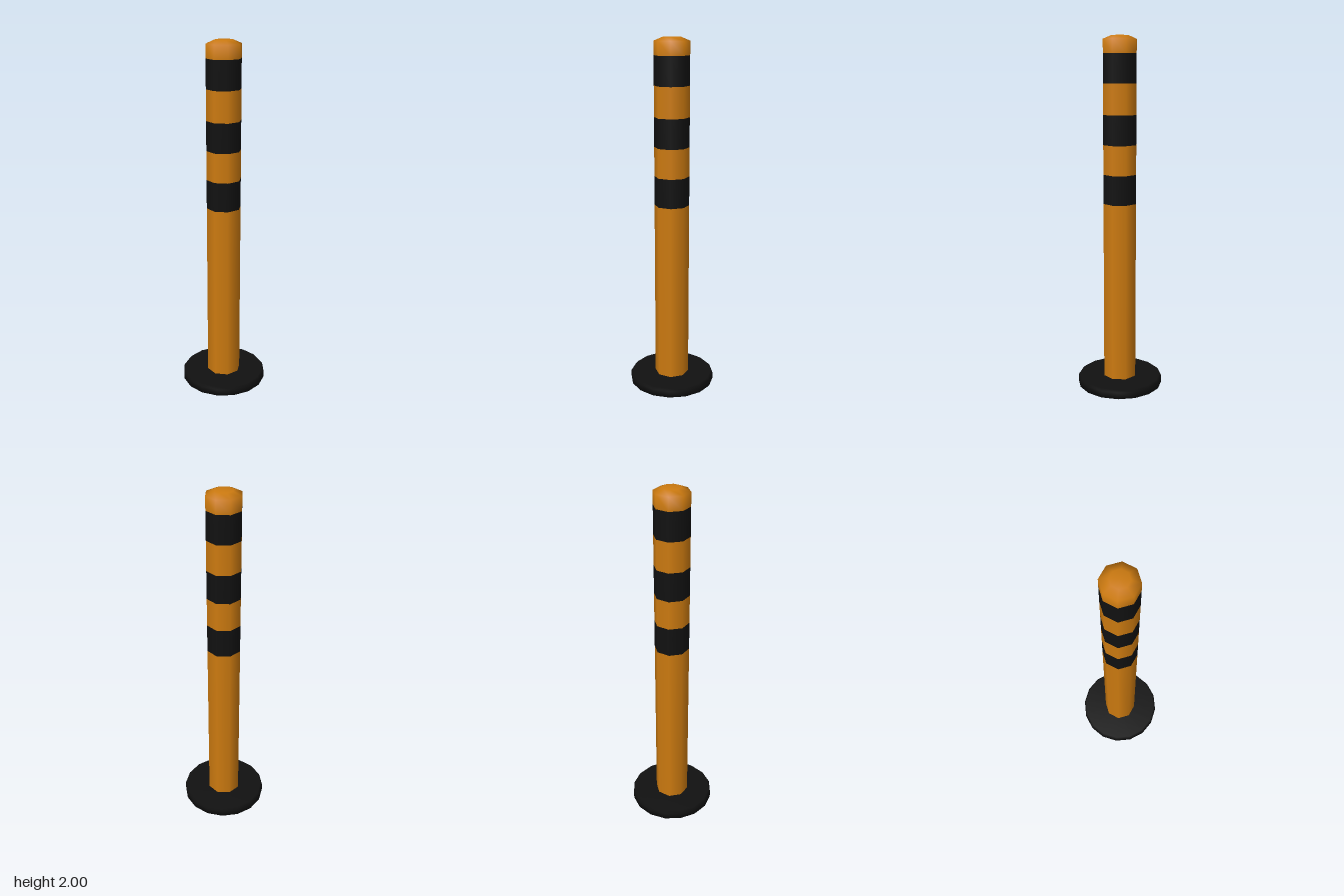
import * as THREE from 'three';

const orange = new THREE.MeshStandardMaterial({ color: 0xcc7a10 });
orange.name = 'orange';
const black = new THREE.MeshStandardMaterial({ color: 0x111111 });
black.name = 'black';

const POST_RADIUS = 0.098;

// Turns a [radius, height] profile, listed from bottom to top, around the y axis
function turned(name, profile, sides, material) {
  const points = profile.map(([r, y]) => new THREE.Vector2(r, y));
  const mesh = new THREE.Mesh(new THREE.LatheGeometry(points, sides), material);
  mesh.name = name;
  return mesh;
}

export function createModel() {
  const group = new THREE.Group();
  group.name = 'bollard';

  // Round foot plate with a small bevel on its upper rim
  group.add(turned('base', [
    [0, 0], [0.245, 0], [0.245, 0.038], [0.234, 0.05], [0, 0.05],
  ], 16, black));

  // Eight-sided post, alternating plain sections and dark bands
  const heights = [0.045, 1.08, 1.245, 1.41, 1.575, 1.745, 1.905];
  for (let i = 0; i < heights.length - 1; i++) {
    const isBand = i % 2 === 1;
    group.add(turned(
      isBand ? `band${(i + 1) / 2}` : `postSection${i / 2 + 1}`,
      [[POST_RADIUS, heights[i]], [POST_RADIUS, heights[i + 1]]],
      8, isBand ? black : orange,
    ));
  }

  // Top section closing in a shallow dome
  group.add(turned('cap', [
    [POST_RADIUS, 1.905], [POST_RADIUS, 1.98], [0.05, 2], [0, 2],
  ], 8, orange));

  return group;
}
